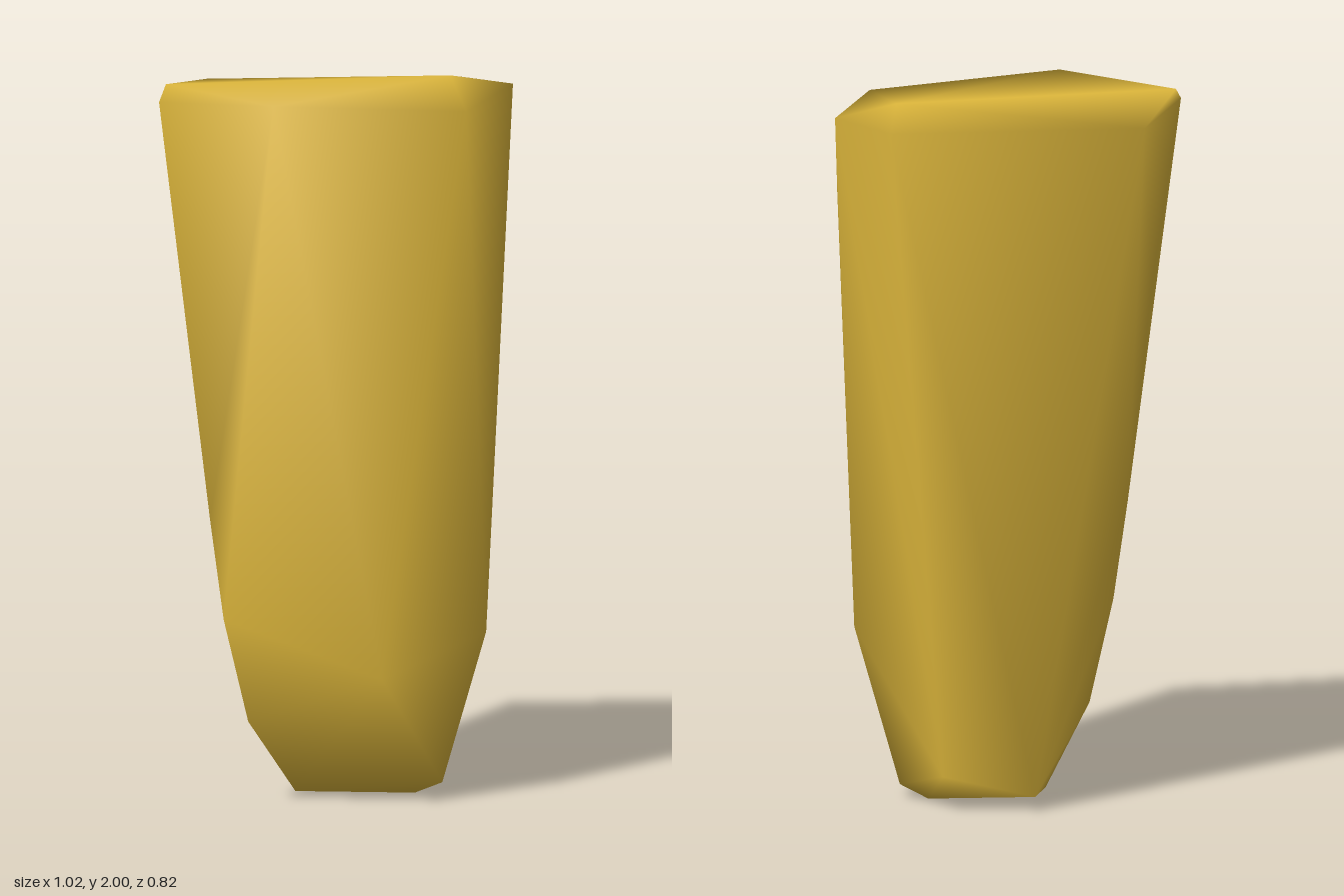
import * as THREE from 'three';
import { ConvexGeometry } from 'three/addons/geometries/ConvexGeometry.js';
import { mergeVertices } from 'three/addons/utils/BufferGeometryUtils.js';

// Corner points of the stone, grouped by region
const CORNERS = [
  // top rim and crown
  [-0.51, 1.96, 0.02], [-0.24, 1.99, 0.36], [0.31, 1.96, 0.33], [0.51, 1.97, -0.12],
  [0.40, 1.96, -0.34], [-0.31, 1.96, -0.41], [-0.48, 2.0, -0.05], [0.33, 2.0, -0.10],
  // left ridge
  [-0.50, 1.80, 0.03], [-0.47, 1.42, 0.06], [-0.413, 0.80, 0.14], [-0.36, 0.52, 0.17], [-0.28, 0.23, 0.16],
  // front bulge and right ridge
  [0.06, 0.375, 0.41], [0.47, 1.73, 0.03], [0.39, 0.47, 0.17],
  // foot
  [-0.13, 0.015, 0.05], [0.21, 0.0, 0.03], [0.28, 0.035, 0.08], [0.215, 0.10, -0.18], [-0.04, 0.04, -0.22],
];

export function createModel() {
  const group = new THREE.Group();
  group.name = 'stone';

  const hull = new ConvexGeometry(CORNERS.map((p) => new THREE.Vector3(...p)));
  hull.deleteAttribute('normal');
  const geometry = mergeVertices(hull, 1e-4);

  // Pull the left ridge inward to give it a shallow waist
  const pos = geometry.attributes.position;
  for (let i = 0; i < pos.count; i++) {
    const x = pos.getX(i), y = pos.getY(i);
    if (x < -0.34 && y > 0.4 && y < 1.9) {
      pos.setX(i, x + 0.04 * Math.sin((Math.PI * (y - 0.4)) / 1.6));
    }
  }
  geometry.computeVertexNormals();

  const ochre = new THREE.MeshStandardMaterial({ color: 0xe0b93c });
  ochre.name = 'ochre';
  const body = new THREE.Mesh(geometry, ochre);
  body.name = 'stoneBody';
  group.add(body);
  return group;
}
